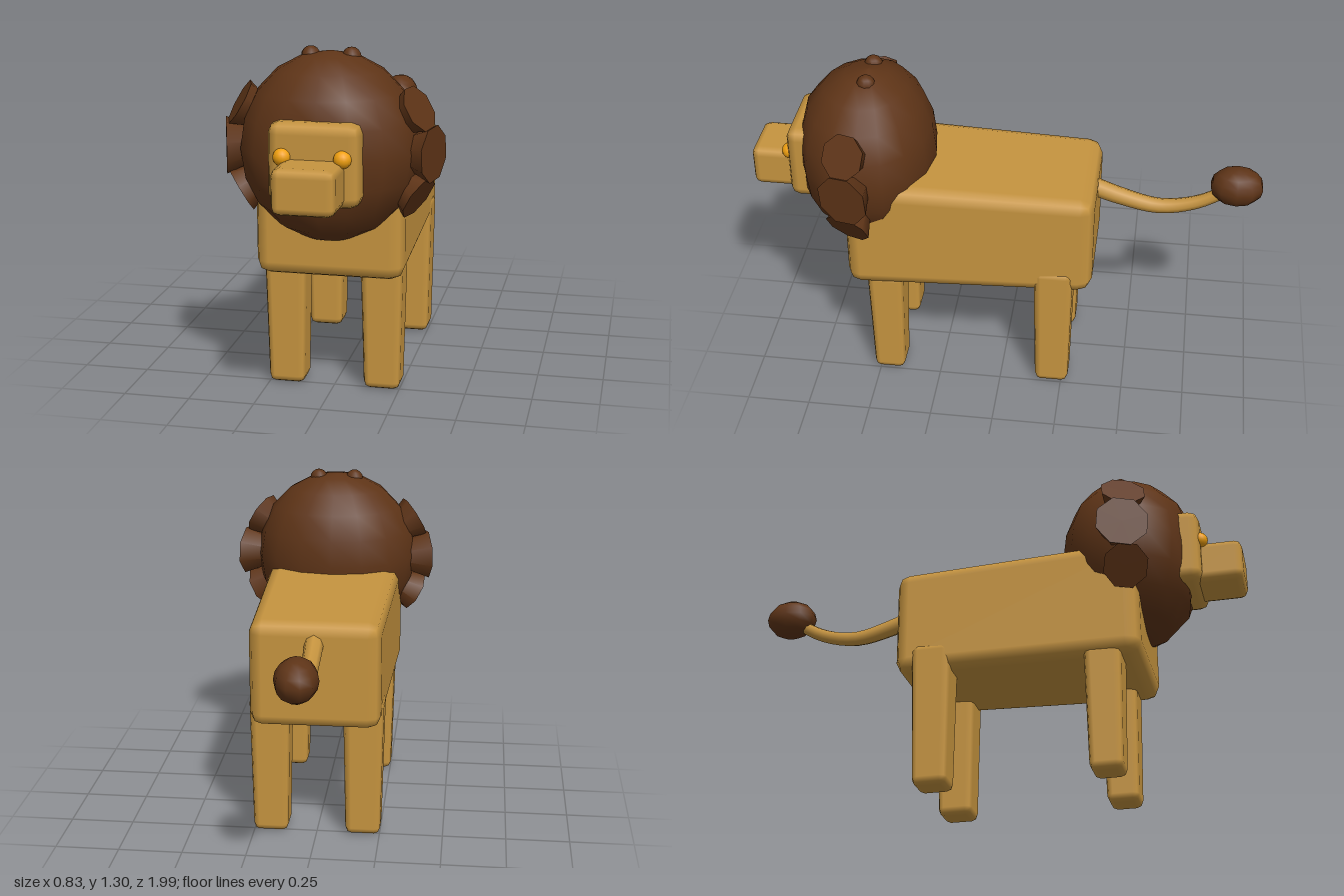
import * as THREE from 'three';
import { RoundedBoxGeometry } from 'three/addons/geometries/RoundedBoxGeometry.js';

const fur = new THREE.MeshStandardMaterial({ color: 0xc6943f });
const dark = new THREE.MeshStandardMaterial({ color: 0x5e3417 });
const amber = new THREE.MeshStandardMaterial({ color: 0xf0a010 });

export function createModel() {
  const model = new THREE.Group();
  model.name = 'lion';

  function add(name, geometry, material, x = 0, y = 0, z = 0) {
    const mesh = new THREE.Mesh(geometry, material);
    mesh.name = name;
    mesh.position.set(x, y, z);
    model.add(mesh);
    return mesh;
  }

  // Bevelled box spanning the given y and z ranges
  function block(name, x, width, y0, y1, z0, z1, bevel) {
    const geo = new RoundedBoxGeometry(width, y1 - y0, z1 - z0, 1, bevel);
    return add(name, geo, fur, x, (y0 + y1) / 2, (z0 + z1) / 2);
  }

  // Move every vertex of a geometry by a rule
  function reshape(geo, rule) {
    const p = geo.attributes.position;
    const v = new THREE.Vector3();
    for (let i = 0; i < p.count; i++) {
      v.fromBufferAttribute(p, i);
      rule(v, i);
      p.setXYZ(i, v.x, v.y, v.z);
    }
    return geo;
  }

  // Body, narrowing towards the rump
  const body = block('body', 0, 0.56, 0.45, 0.92, -0.36, 0.61, 0.055);
  reshape(body.geometry, (v) => {
    const back = 0.5 - v.z / 0.97;
    v.x *= 1 - 0.1 * back;
    v.y *= 1 - 0.1 * back;
  });

  // Head, muzzle and eyes
  block('head', 0, 0.33, 0.78, 1.08, 0.6, 0.843, 0.04);
  block('muzzle', 0, 0.226, 0.79, 0.955, 0.78, 1.0, 0.03);

  // Mane: ellipsoid with a flattened front
  const mane = new THREE.SphereGeometry(1, 16, 10);
  reshape(mane, (v) => {
    const z = v.z > 0 ? Math.min(1, v.z * 1.18) : v.z;
    v.set(v.x * 0.335, v.y * 0.35, z * 0.255);
  });
  mane.computeVertexNormals();
  add('mane', mane, dark, 0, 0.94, 0.535);

  // Mane tufts: cones with their broad ends outward
  function tuft(side, x, y, radius, tilt) {
    const n = new THREE.Vector3(side * Math.cos(tilt), Math.sin(tilt), 0.31).normalize();
    const length = 0.24;
    const cone = add('maneTuft', new THREE.ConeGeometry(radius, length, 8), dark, side * x, y, 0.578);
    cone.position.addScaledVector(n, -length / 2);
    cone.quaternion.setFromUnitVectors(new THREE.Vector3(0, -1, 0), n);
  }

  for (const side of [-1, 1]) {
    tuft(side, 0.383, 0.935, 0.106, 0);
    tuft(side, 0.33, 1.098, 0.09, 0.55);
    tuft(side, 0.33, 0.772, 0.09, -0.55);
    add('topTuft', new THREE.SphereGeometry(0.036, 10, 8), dark, side * 0.075, 1.267, 0.53);
    add('eye', new THREE.SphereGeometry(0.032, 16, 12), amber, side * 0.107, 0.962, 0.84);

    // Legs, slimmer at the foot
    for (const [name, top, z0, z1] of [['frontLeg', 0.49, 0.39, 0.535], ['hindLeg', 0.57, -0.288, -0.132]]) {
      const leg = block(name, side * 0.183, 0.16, 0, top, z0, z1, 0.028);
      reshape(leg.geometry, (v) => {
        const k = 1 - 0.14 * (0.5 - v.y / top);
        v.x *= k;
        v.z *= k;
      });
    }
  }

  // Tail, tapering to the tuft
  const path = new THREE.CatmullRomCurve3([
    new THREE.Vector3(0, 0.83, -0.32),
    new THREE.Vector3(0, 0.784, -0.45),
    new THREE.Vector3(0, 0.751, -0.6),
    new THREE.Vector3(0, 0.778, -0.74),
    new THREE.Vector3(0, 0.85, -0.87),
  ]);
  const tail = new THREE.TubeGeometry(path, 16, 0.038, 8);
  const uv = tail.attributes.uv;
  const centre = new THREE.Vector3();
  reshape(tail, (v, i) => {
    const u = uv.getX(i);
    path.getPointAt(u, centre);
    v.sub(centre).multiplyScalar(1 - 0.38 * u).add(centre);
  });
  add('tail', tail, fur);
  const tip = new THREE.SphereGeometry(1, 10, 8).scale(0.08, 0.08, 0.105);
  add('tailTuft', tip, dark, 0, 0.87, -0.895);

  return model;
}
